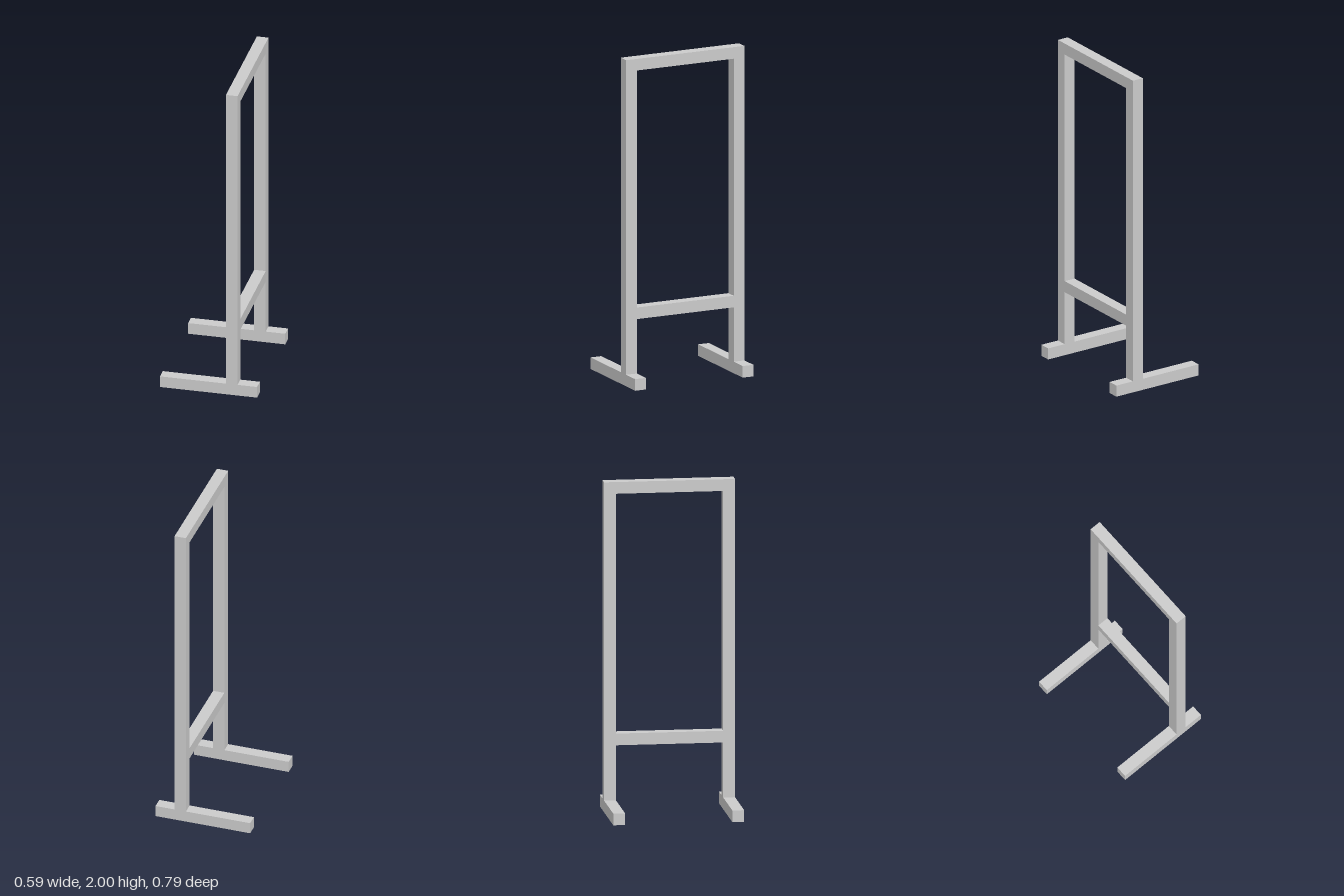
import * as THREE from 'three';

const BAR = 0.071;      // square bar thickness
const HALF_DEPTH = 0.393;
const HEIGHT = 2;
const FOOT_LENGTH = 0.594;
const POST_X = 0.142;   // upright frame sits off-centre on the feet
const RAIL_Y = 0.44;    // centre height of the lower rail

export function createModel() {
  const model = new THREE.Group();
  const material = new THREE.MeshStandardMaterial({ color: 0xcccccc, flatShading: true });

  const addBar = (name, size, position) => {
    const mesh = new THREE.Mesh(new THREE.BoxGeometry(...size), material);
    mesh.name = name;
    mesh.position.set(...position);
    model.add(mesh);
  };

  // A foot and a post at the front and the back
  const postHeight = HEIGHT - BAR;
  for (const [side, sign] of [['front', 1], ['back', -1]]) {
    const z = sign * (HALF_DEPTH - BAR / 2);
    addBar(side + 'Foot', [FOOT_LENGTH, BAR, BAR], [0, BAR / 2, z]);
    addBar(side + 'Post', [BAR, postHeight, BAR], [POST_X, BAR + postHeight / 2, z]);
  }

  // Rails spanning between the posts
  const span = 2 * (HALF_DEPTH - BAR);
  addBar('topRail', [BAR, BAR, span], [POST_X, HEIGHT - BAR / 2, 0]);
  addBar('lowerRail', [BAR, BAR, span], [POST_X, RAIL_Y, 0]);

  return model;
}
